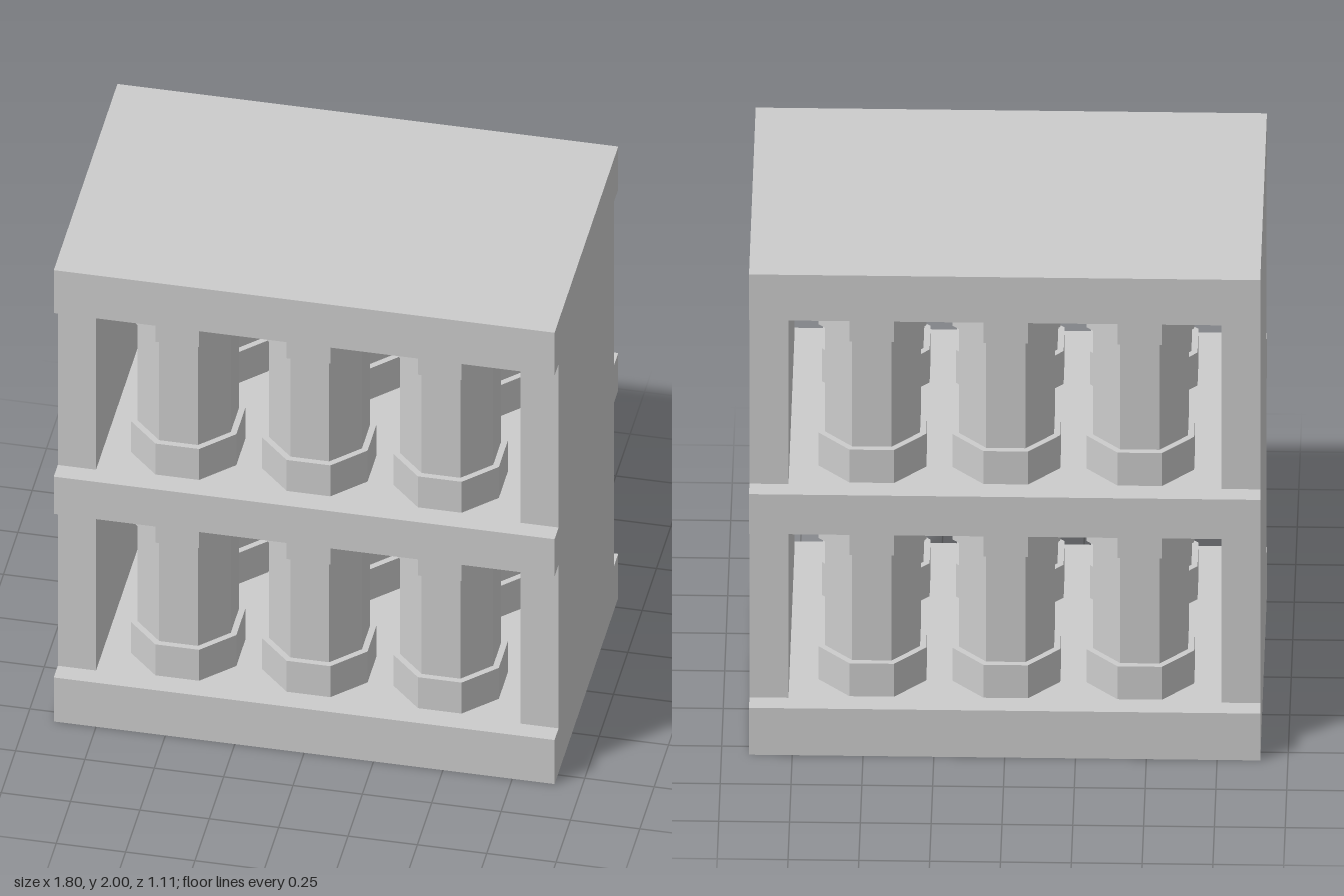
import * as THREE from 'three';

export function createModel() {
  const model = new THREE.Group();
  model.name = 'columnRack';
  const stone = new THREE.MeshStandardMaterial({ color: 0xcccccc });
  stone.name = 'light grey';
  stone.flatShading = true;

  function add(parent, name, geometry, x, y, z) {
    const mesh = new THREE.Mesh(geometry, stone);
    mesh.name = name;
    mesh.position.set(x, y, z);
    parent.add(mesh);
  }

  // Box spanning y0..y1
  function slab(name, width, depth, x, y0, y1) {
    add(model, name, new THREE.BoxGeometry(width, y1 - y0, depth), x, (y0 + y1) / 2, 0);
  }

  // Octagonal prism spanning y0..y1, with a flat side facing front
  function octagon(parent, name, apothem, y0, y1) {
    const r = apothem / Math.cos(Math.PI / 8);
    const geometry = new THREE.CylinderGeometry(r, r, y1 - y0, 8).rotateY(Math.PI / 8);
    add(parent, name, geometry, 0, (y0 + y1) / 2, 0);
  }

  // Base, middle shelf and top
  slab('base', 1.805, 1.11, 0, 0, 0.195);
  slab('middleShelf', 1.805, 1.11, 0, 0.92, 1.085);
  slab('top', 1.805, 1.11, 0, 1.81, 2);

  // Side walls and two rows of columns on each level
  for (const [y0, y1] of [[0.195, 0.92], [1.085, 1.81]]) {
    slab('leftWall', 0.138, 0.97, 0.8335, y0, y1);
    slab('rightWall', 0.138, 0.97, -0.8335, y0, y1);

    for (const x of [-0.475, -0.002, 0.471]) {
      for (const z of [0.28, -0.28]) {
        const column = new THREE.Group();
        column.name = 'column';
        column.position.set(x, 0, z);
        octagon(column, 'columnFoot', 0.19, y0, y0 + 0.137);
        octagon(column, 'columnShaft', 0.168, y0 + 0.137, y1 - 0.137);
        octagon(column, 'columnHead', 0.19, y1 - 0.137, y1);
        model.add(column);
      }
    }
  }
  return model;
}
